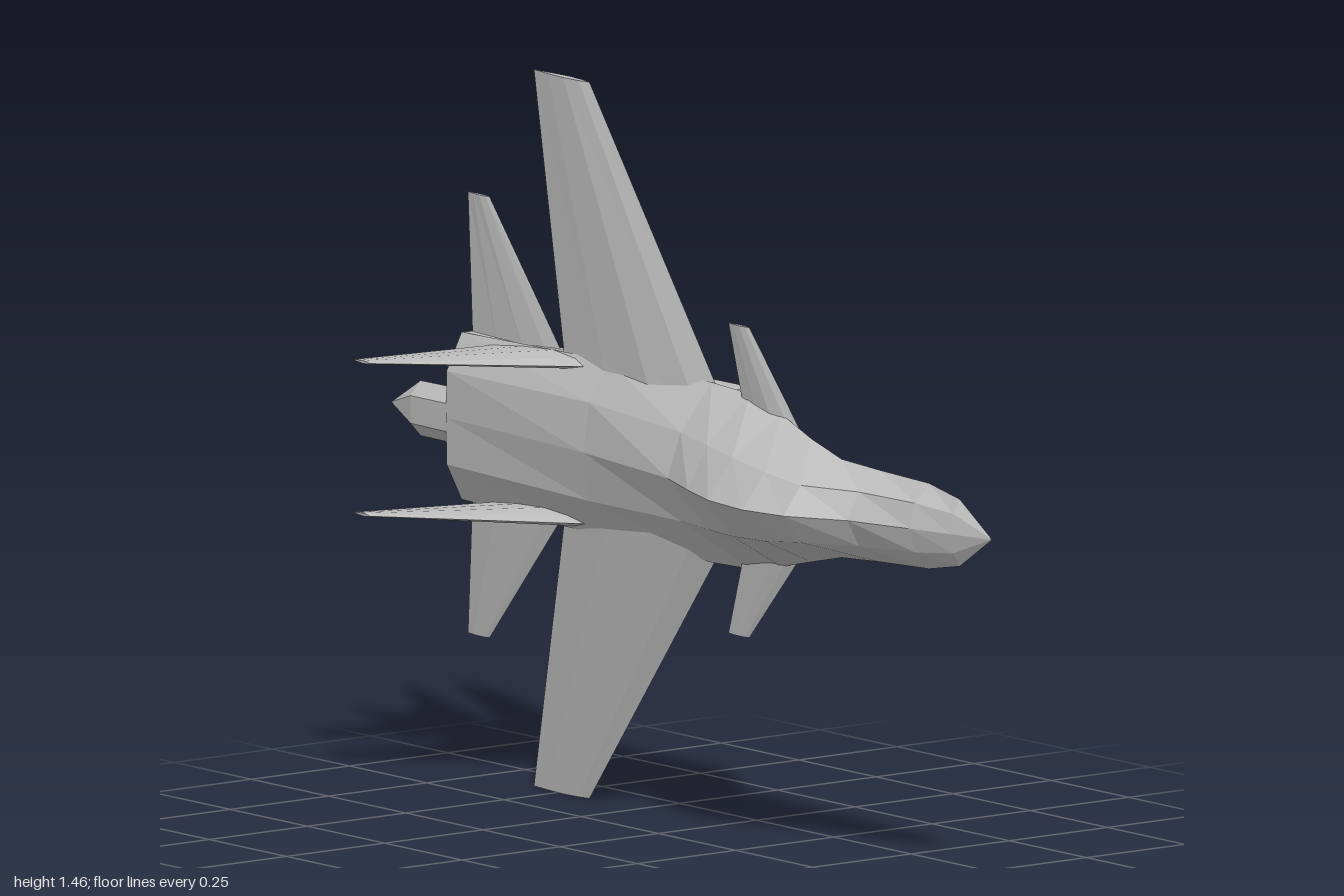
import * as THREE from 'three';

const grey = new THREE.MeshStandardMaterial({ color: 0xbcbcbc, flatShading: true });
grey.name = 'airframe grey';

// Skins a list of equal-length rings of [x, span, z] points and closes both ends.
function loft(name, rings) {
  const tris = [];
  const n = rings[0].length;
  for (let i = 0; i < rings.length - 1; i++) {
    for (let j = 0; j < n; j++) {
      const k = (j + 1) % n;
      const a = rings[i][j], b = rings[i][k], c = rings[i + 1][k], d = rings[i + 1][j];
      tris.push([a, b, c], [a, c, d]);
    }
  }
  const first = rings[0], last = rings[rings.length - 1];
  const middle = (ring) => [0, 1, 2].map((q) => ring.reduce((s, p) => s + p[q], 0) / n);
  const m0 = middle(first), m1 = middle(last);
  for (let j = 0; j < n; j++) {
    const k = (j + 1) % n;
    tris.push([m0, first[k], first[j]], [m1, last[j], last[k]]);
  }
  // Turn the faces outward whichever way the rings run
  let volume = 0;
  const [va, vb, vc] = [new THREE.Vector3(), new THREE.Vector3(), new THREE.Vector3()];
  for (const [a, b, c] of tris) {
    va.fromArray(a).sub(vb.fromArray(m0));
    const vm = vb.clone();
    vb.fromArray(b).sub(vm);
    vc.fromArray(c).sub(vm);
    volume += va.dot(vb.cross(vc));
  }
  const pos = [];
  for (const [a, b, c] of tris) pos.push(...a, ...(volume < 0 ? [...c, ...b] : [...b, ...c]));
  const geo = new THREE.BufferGeometry();
  geo.setAttribute('position', new THREE.Float32BufferAttribute(pos, 3));
  geo.computeVertexNormals();
  const mesh = new THREE.Mesh(geo, grey);
  mesh.name = name;
  return mesh;
}

// Lens-shaped aerofoil from leading to trailing edge, thickened along 'axis' (1 span, 2 z)
function foil(le, te, thick, axis) {
  const at = (t, h) => {
    const p = le.map((v, i) => v + (te[i] - v) * t);
    p[axis] += h * thick / 2;
    return p;
  };
  return [at(0, 0), at(0.15, 0.65), at(0.4, 1), at(0.7, 0.65), at(1, 0),
    at(0.7, -0.65), at(0.4, -1), at(0.15, -0.65)];
}

// Symmetric fuselage ring: crown, shoulder, chine, belly
function hullRing([x, top, sw, sz, ew, ez, bw, bz]) {
  const right = [[x, sw, sz], [x, ew, ez], [x, bw, bz]];
  const left = right.map(([px, s, z]) => [px, -s, z]).reverse();
  return [[x, 0, top], ...right, ...left];
}

export function createModel() {
  const model = new THREE.Group();
  const jet = new THREE.Group();
  jet.name = 'jet';
  jet.position.y = 0.7275;
  model.add(jet);

  // Fuselage: x, crown z, shoulder (span, z), chine (span, z), belly (span, z)
  const hull = [
    [1.0, -0.06, 0.001, -0.06, 0.002, -0.061, 0.001, -0.062],
    [0.9, -0.035, 0.04, -0.043, 0.068, -0.06, 0.035, -0.082],
    [0.8, -0.01, 0.05, -0.025, 0.087, -0.06, 0.045, -0.088],
    [0.65, 0.03, 0.055, 0.0, 0.093, -0.055, 0.055, -0.093],
    [0.53, 0.098, 0.058, 0.055, 0.1, -0.05, 0.065, -0.097],
    [0.42, 0.118, 0.07, 0.06, 0.125, -0.06, 0.08, -0.1],
    [0.29, 0.102, 0.08, 0.04, 0.155, -0.085, 0.1, -0.105],
    [0.17, 0.06, 0.085, 0.01, 0.178, -0.1, 0.12, -0.115],
    [0.04, 0.008, 0.09, -0.025, 0.183, -0.105, 0.14, -0.13],
    [-0.3, -0.045, 0.1, -0.06, 0.18, -0.11, 0.15, -0.14],
    [-0.79, -0.08, 0.095, -0.082, 0.17, -0.12, 0.15, -0.15],
    [-0.79, -0.09, 0.085, -0.092, 0.145, -0.12, 0.13, -0.14],
    [-0.74, -0.09, 0.085, -0.092, 0.145, -0.12, 0.13, -0.14],
  ];
  jet.add(loft('fuselage', hull.map(hullRing)));

  // Belly intake duct with a raked mouth
  const duct = (xTop, xBottom, wTop, wBottom, zTop, zBottom) => [
    [xTop, wTop, zTop], [xBottom, wBottom, zBottom],
    [xBottom, -wBottom, zBottom], [xTop, -wTop, zTop]];
  jet.add(loft('intakeDuct', [
    duct(0.23, 0.14, 0.115, 0.162, -0.09, -0.195),
    duct(0.08, 0.08, 0.172, 0.166, -0.11, -0.194),
    duct(-0.79, -0.79, 0.17, 0.168, -0.12, -0.165),
  ]));

  // Tail sting
  const sting = (x, r, rz) => Array.from({ length: 6 }, (_, i) => {
    const a = i * Math.PI / 3;
    return [x, r * Math.cos(a), -0.11 + rz * Math.sin(a)];
  });
  jet.add(loft('tailSting', [
    sting(-0.7, 0.058, 0.034), sting(-0.91, 0.056, 0.03), sting(-0.999, 0.003, 0.003)]));

  for (const s of [1, -1]) {
    const side = s > 0 ? 'left' : 'right';
    jet.add(loft(side + 'Wing', [
      foil([0.1, s * 0.12, -0.11], [-0.45, s * 0.12, -0.115], 0.06, 2),
      foil([0.04, s * 0.183, -0.112], [-0.46, s * 0.183, -0.12], 0.055, 2),
      foil([-0.405, s * 0.7275, -0.143], [-0.59, s * 0.7275, -0.147], 0.02, 2),
    ]));
    jet.add(loft(side + 'Canard', [
      foil([0.36, s * 0.12, -0.085], [0.17, s * 0.12, -0.09], 0.025, 2),
      foil([0.18, s * 0.315, -0.09], [0.11, s * 0.315, -0.092], 0.01, 2),
    ]));
    jet.add(loft(side + 'Tailplane', [
      foil([-0.46, s * 0.14, -0.135], [-0.785, s * 0.14, -0.145], 0.025, 2),
      foil([-0.74, s * 0.448, -0.152], [-0.815, s * 0.448, -0.156], 0.01, 2),
    ]));
    jet.add(loft(side + 'Fin', [
      foil([-0.34, s * 0.16, -0.125], [-0.675, s * 0.16, -0.135], 0.034, 1),
      foil([-0.68, s * 0.155, 0.2], [-0.74, s * 0.155, 0.197], 0.006, 1),
    ]));
  }
  return model;
}
